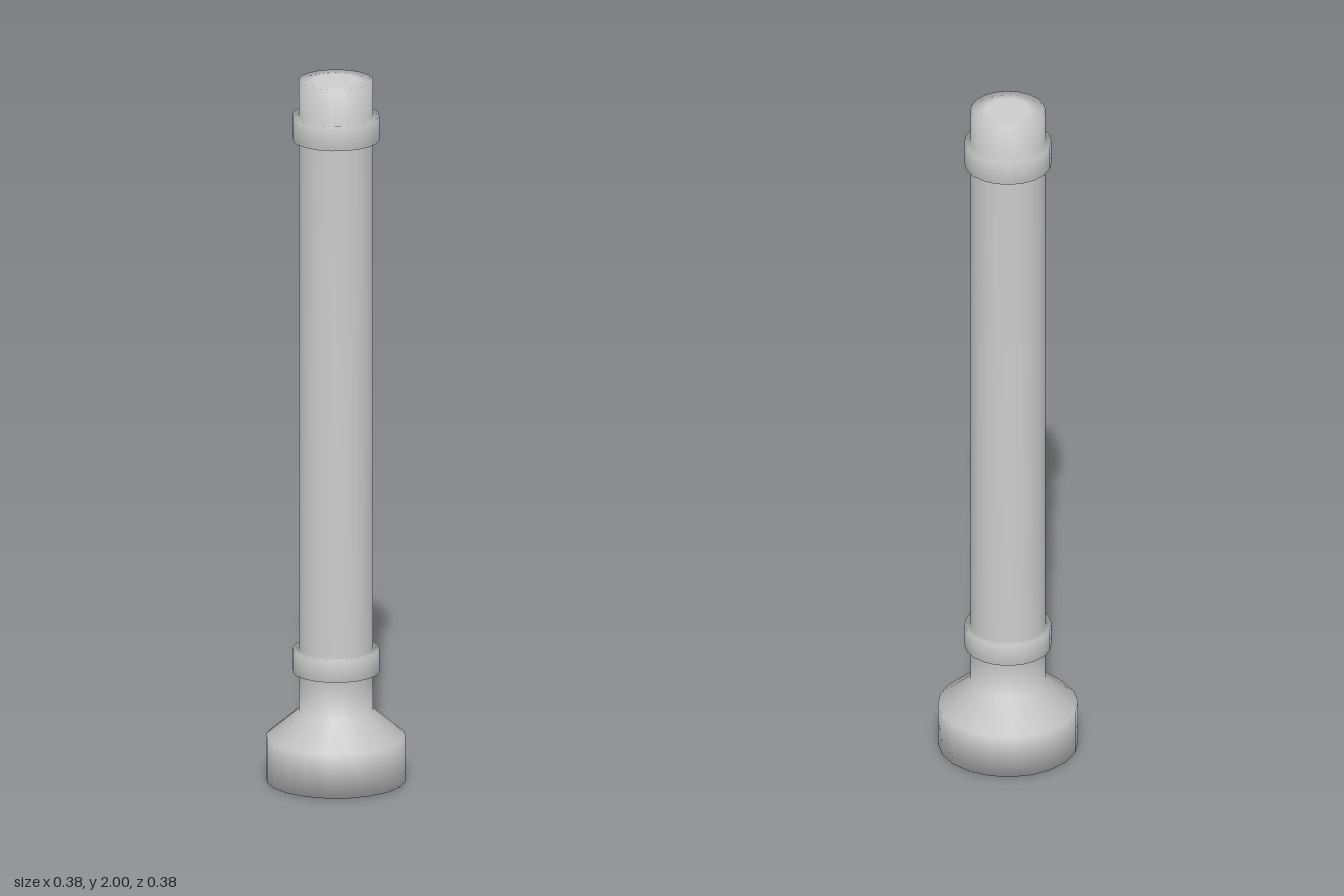
import * as THREE from 'three';

const SIDES = 20;
const START = THREE.MathUtils.degToRad(10.5);

// Outline from the underside centre up to the top centre: [radius, height]
const profile = [
  [0, 0], [0.193, 0], [0.193, 0.125], [0.103, 0.2], [0.103, 0.31],
  [0.12, 0.31], [0.12, 0.375], [0.103, 0.375],
  [0.103, 1.83], [0.12, 1.83], [0.12, 1.9], [0.103, 1.9],
  [0.103, 2], [0.06, 2], [0, 2],
].map(([r, y]) => new THREE.Vector2(r, y));

// Each part spans a stretch of the outline
const parts = {
  flaredBase: [0, 3],
  neck: [3, 4],
  lowerCollar: [4, 7],
  shaft: [7, 8],
  upperCollar: [8, 11],
  topStub: [11, 14],
};

export function createModel() {
  const group = new THREE.Group();
  group.name = 'column';
  const material = new THREE.MeshStandardMaterial({ color: 0xcccccc });
  const whole = new THREE.LatheGeometry(profile, SIDES, START).attributes.normal;

  for (const [name, [from, to]] of Object.entries(parts)) {
    const count = to - from + 1;
    const geometry = new THREE.LatheGeometry(profile.slice(from, to + 1), SIDES, START);

    // Take normals from the whole outline so shading flows across the joints
    const normal = geometry.attributes.normal;
    for (let i = 0; i <= SIDES; i++) {
      for (let j = 0; j < count; j++) {
        const k = i * profile.length + from + j;
        normal.setXYZ(i * count + j, whole.getX(k), whole.getY(k), whole.getZ(k));
      }
    }

    const mesh = new THREE.Mesh(geometry, material);
    mesh.name = name;
    group.add(mesh);
  }
  return group;
}
